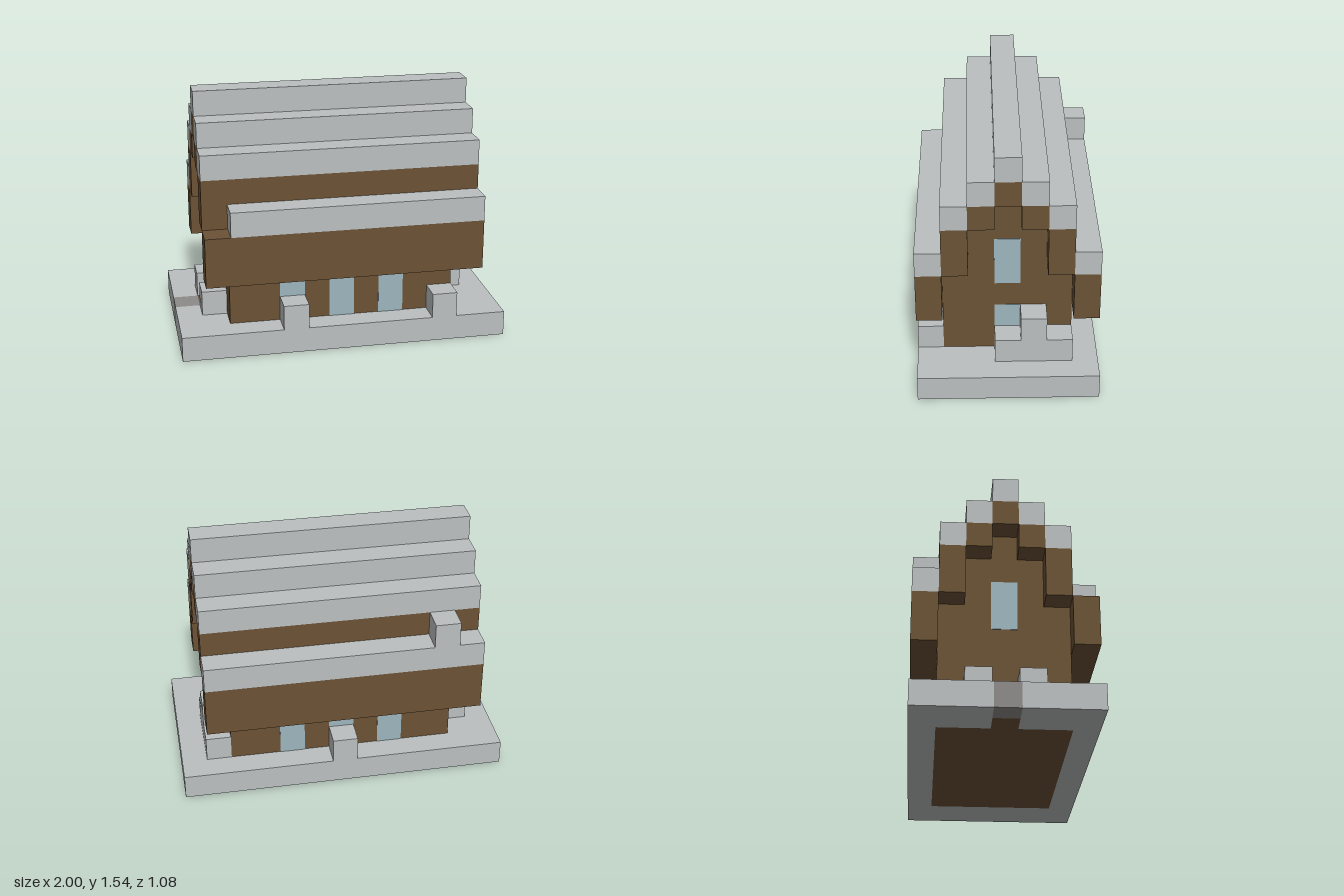
import * as THREE from 'three';

export function createModel() {
  const model = new THREE.Group();
  model.name = 'blockHouse';
  const U = 2 / 13; // one block

  const mat = (name, color) => {
    const m = new THREE.MeshStandardMaterial({ color });
    m.name = name;
    return m;
  };
  const stone = mat('paleStone', 0xbbbfc0);
  const wood = mat('brownWood', 0x6b5235);
  const glass = mat('paleGlass', 0x9db5be);
  const step = mat('darkStone', 0x8d8b89);

  // Box between block coordinates: x 0..13, y 0..10, z 0..7
  const block = (name, m, [x0, x1], [y0, y1], [z0, z1]) => {
    const mesh = new THREE.Mesh(
      new THREE.BoxGeometry((x1 - x0) * U, (y1 - y0) * U, (z1 - z0) * U), m);
    mesh.position.set(((x0 + x1) / 2 - 6.5) * U, (y0 + y1) / 2 * U, ((z0 + z1) / 2 - 3.5) * U);
    mesh.name = name;
    model.add(mesh);
    return mesh;
  };

  // Foundation around the wooden floor, with the entrance path on the -x end
  block('foundationBack', stone, [0, 13], [0, 1], [0, 1]);
  block('foundationFront', stone, [0, 13], [0, 1], [6, 7]);
  block('foundationLeft', stone, [11, 13], [0, 1], [1, 6]);
  block('foundationRightBack', stone, [0, 2], [0, 1], [1, 3]);
  block('foundationRightFront', stone, [0, 2], [0, 1], [4, 6]);
  block('doorStep', step, [0, 1], [0, 1], [3, 4]);
  block('threshold', wood, [1, 2], [0, 1], [3, 4]);

  // House core, from floor to attic
  block('walls', wood, [2, 11], [0, 7], [1, 6]);
  block('atticLower', wood, [2, 11], [7, 8], [2, 5]);
  block('atticUpper', wood, [2, 11], [8, 9], [3, 4]);

  // Stepped roof and the beams beneath it, mirrored front and back
  const bothSides = (name, m, x, y, k) => {
    block(name + 'Back', m, x, y, [k, k + 1]);
    block(name + 'Front', m, x, y, [6 - k, 7 - k]);
  };
  bothSides('overhang', wood, [1, 12], [3, 5], 0);
  bothSides('upperWall', wood, [1, 12], [5, 7], 1);
  bothSides('lowerRoof', stone, [1, 12], [7, 8], 1);
  bothSides('upperBeam', wood, [1, 12], [7, 8], 2);
  bothSides('upperRoof', stone, [1, 12], [8, 9], 2);
  block('ridgeBeam', wood, [1, 12], [8, 9], [3, 4]);
  block('ridge', stone, [1, 12], [9, 10], [3, 4]);
  block('eaveFront', stone, [2, 12], [5, 6], [6, 7]);
  block('eaveBack', stone, [1, 12], [5, 6], [0, 1]);
  block('chimney', stone, [2, 3], [6, 7], [0, 1]);

  // Stone posts around the house: x, z, height
  for (const [x, z, h] of [
    [4, 6, 1], [10, 6, 1], [6, 0, 1],
    [1, 2, 1], [1, 4, 1],
    [11, 1, 1], [11, 2, 2], [11, 3, 1],
  ]) block('stonePost', stone, [x, x + 1], [1, 1 + h], [z, z + 1]);

  // Window panes as thin plates
  const t = 0.02;
  for (const x of [4, 6, 8]) {
    block('frontWindow', glass, [x, x + 1], [1, 3], [6, 6 + t]);
    block('backWindow', glass, [x, x + 1], [1, 3], [1 - t, 1]);
  }
  block('leftUpperWindow', glass, [11, 11 + t], [4, 6], [3, 4]);
  block('rightUpperWindow', glass, [2 - t, 2], [4, 6], [3, 4]);
  block('leftLowerWindow', glass, [11, 11 + t], [1, 3], [3, 4]);

  return model;
}
